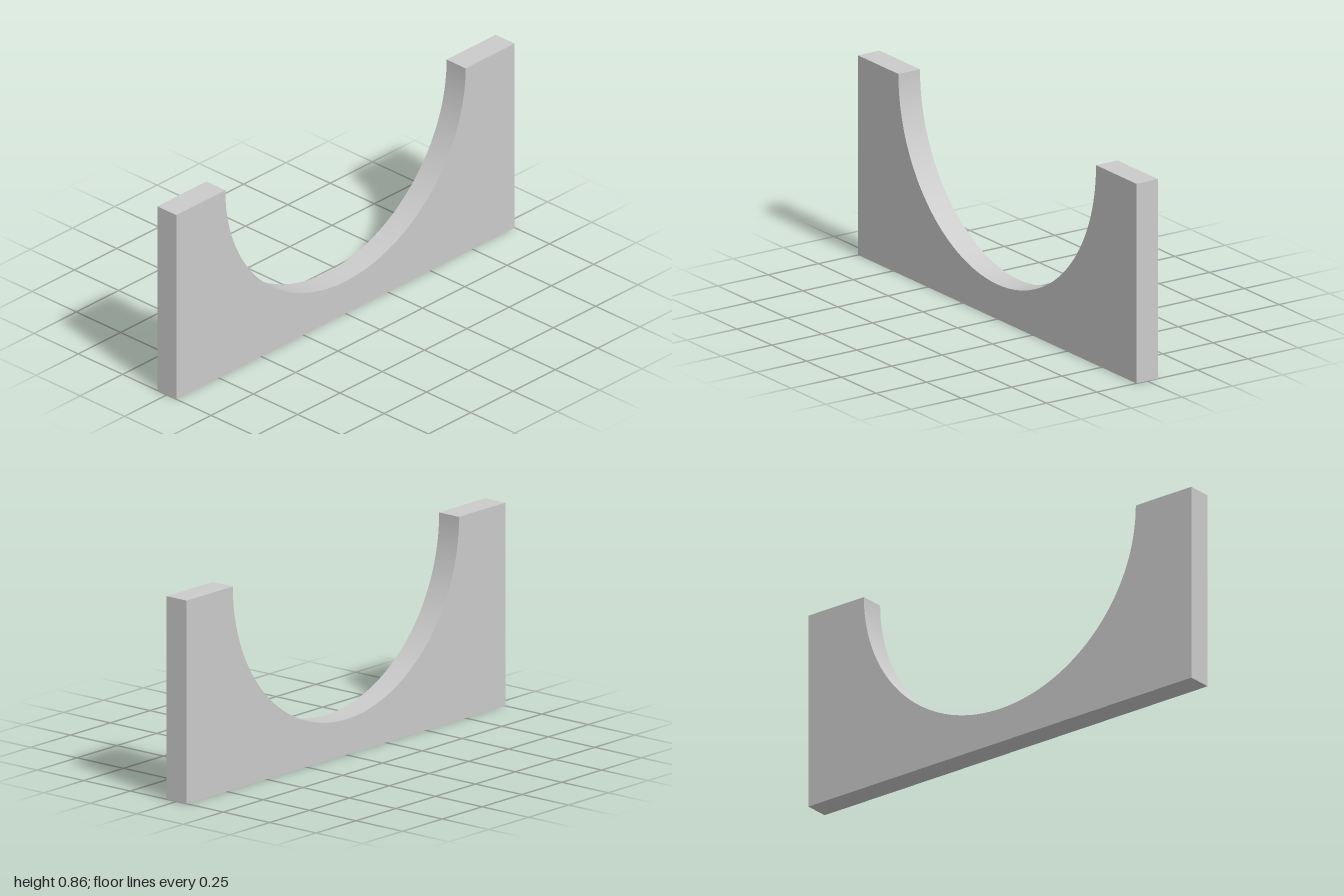
import * as THREE from 'three';
import { toCreasedNormals } from 'three/addons/utils/BufferGeometryUtils.js';

const HEIGHT = 0.86;
const RADIUS = 0.71;
const DEPTH = 0.107;

export function createModel() {
  const group = new THREE.Group();
  group.name = 'cradleSupport';

  // Rectangular plate with a half-round saddle cut into its top edge
  const outline = new THREE.Shape();
  outline.moveTo(-1, 0);
  outline.lineTo(1, 0);
  outline.lineTo(1, HEIGHT);
  outline.lineTo(RADIUS, HEIGHT);
  outline.absarc(0, HEIGHT, RADIUS, 0, Math.PI, true);
  outline.lineTo(-1, HEIGHT);
  outline.closePath();

  const geometry = new THREE.ExtrudeGeometry(outline, {
    depth: DEPTH,
    bevelEnabled: false,
    curveSegments: 48,
  });
  geometry.translate(0, 0, -DEPTH / 2);

  // Smooth saddle, sharp plate edges
  const plate = new THREE.Mesh(
    toCreasedNormals(geometry, Math.PI / 6),
    new THREE.MeshStandardMaterial({ color: 0xcccccc })
  );
  plate.name = 'saddlePlate';
  group.add(plate);

  return group;
}
